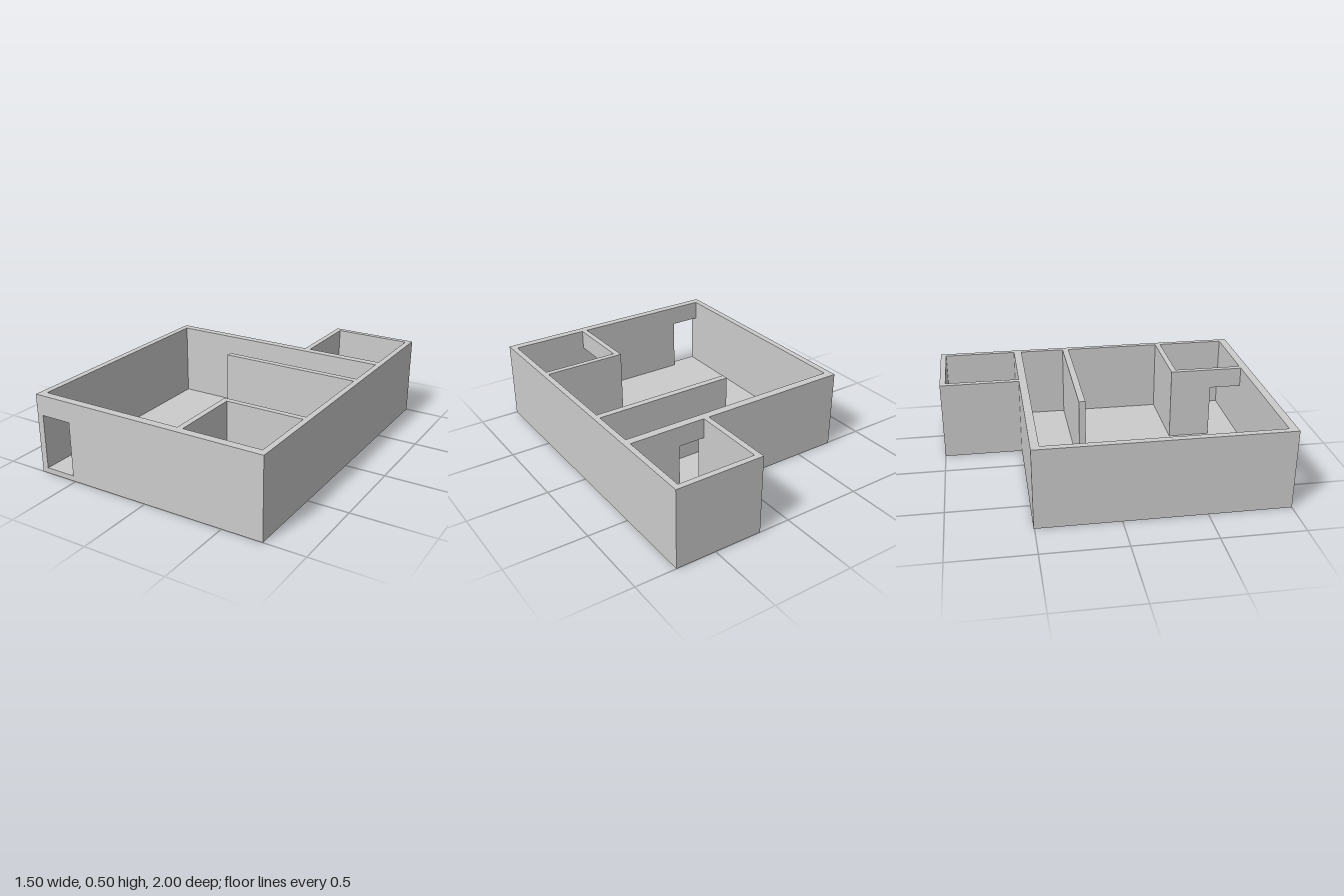
import * as THREE from 'three';

const FLOOR = 0.033, DOOR_TOP = 0.37, TOP = 0.495;
const material = new THREE.MeshStandardMaterial({ color: 0xcccccc, flatShading: true });

// Axis-aligned block given by its limits
function block(x0, x1, y0, y1, z0, z1) {
  const mesh = new THREE.Mesh(new THREE.BoxGeometry(x1 - x0, y1 - y0, z1 - z0), material);
  mesh.position.set((x0 + x1) / 2, (y0 + y1) / 2, (z0 + z1) / 2);
  return mesh;
}

// Straight wall; an optional doorway [from, to] lies along the wall's long direction
function wall(name, x0, x1, z0, z1, door) {
  const group = new THREE.Group();
  group.name = name;
  const alongX = x1 - x0 > z1 - z0;
  const add = (part, a, b, y0, y1) => {
    if (b - a < 1e-4) return;
    const mesh = alongX ? block(a, b, y0, y1, z0, z1) : block(x0, x1, y0, y1, a, b);
    mesh.name = part;
    group.add(mesh);
  };
  const [start, end] = alongX ? [x0, x1] : [z0, z1];
  if (door) {
    add('pier', start, door[0], FLOOR, TOP);
    add('lintel', door[0], door[1], DOOR_TOP, TOP);
    add('pier', door[1], end, FLOOR, TOP);
  } else {
    add('panel', start, end, FLOOR, TOP);
  }
  return group;
}

export function createModel() {
  const model = new THREE.Group();
  model.name = 'floorPlan';

  // Floor slab under the main room and the rear annex
  const outline = [[-0.75, -1], [0.75, -1], [0.75, 1], [0.2, 1], [0.2, 0.505], [-0.75, 0.505]];
  const shape = new THREE.Shape(outline.map(([x, y]) => new THREE.Vector2(x, y)));
  const slab = new THREE.ExtrudeGeometry(shape, { depth: FLOOR, bevelEnabled: false });
  const floor = new THREE.Mesh(slab.rotateX(-Math.PI / 2), material);
  floor.name = 'floor';
  model.add(floor);

  model.add(
    // Main room
    wall('frontWall', -0.75, 0.75, 0.95, 1, [-0.71, -0.515]),
    wall('backWall', -0.75, 0.75, -0.505, -0.455, [0.235, 0.4]),
    wall('rightWall', -0.75, -0.71, -0.455, 0.95),
    wall('leftWall', 0.715, 0.75, -0.455, 0.95),
    wall('partition', -0.17, 0.715, -0.17, -0.13),
    // Corner room at the front
    wall('cornerRoomBackWall', 0.2, 0.715, 0.485, 0.52),
    wall('cornerRoomSideWall', 0.2, 0.235, 0.52, 0.95, [0.75, 0.95]),
    // Annex at the back
    wall('annexBackWall', 0.2, 0.75, -1, -0.965),
    wall('annexRightWall', 0.2, 0.235, -0.965, -0.505),
    wall('annexLeftWall', 0.715, 0.75, -0.965, -0.505),
  );
  return model;
}
